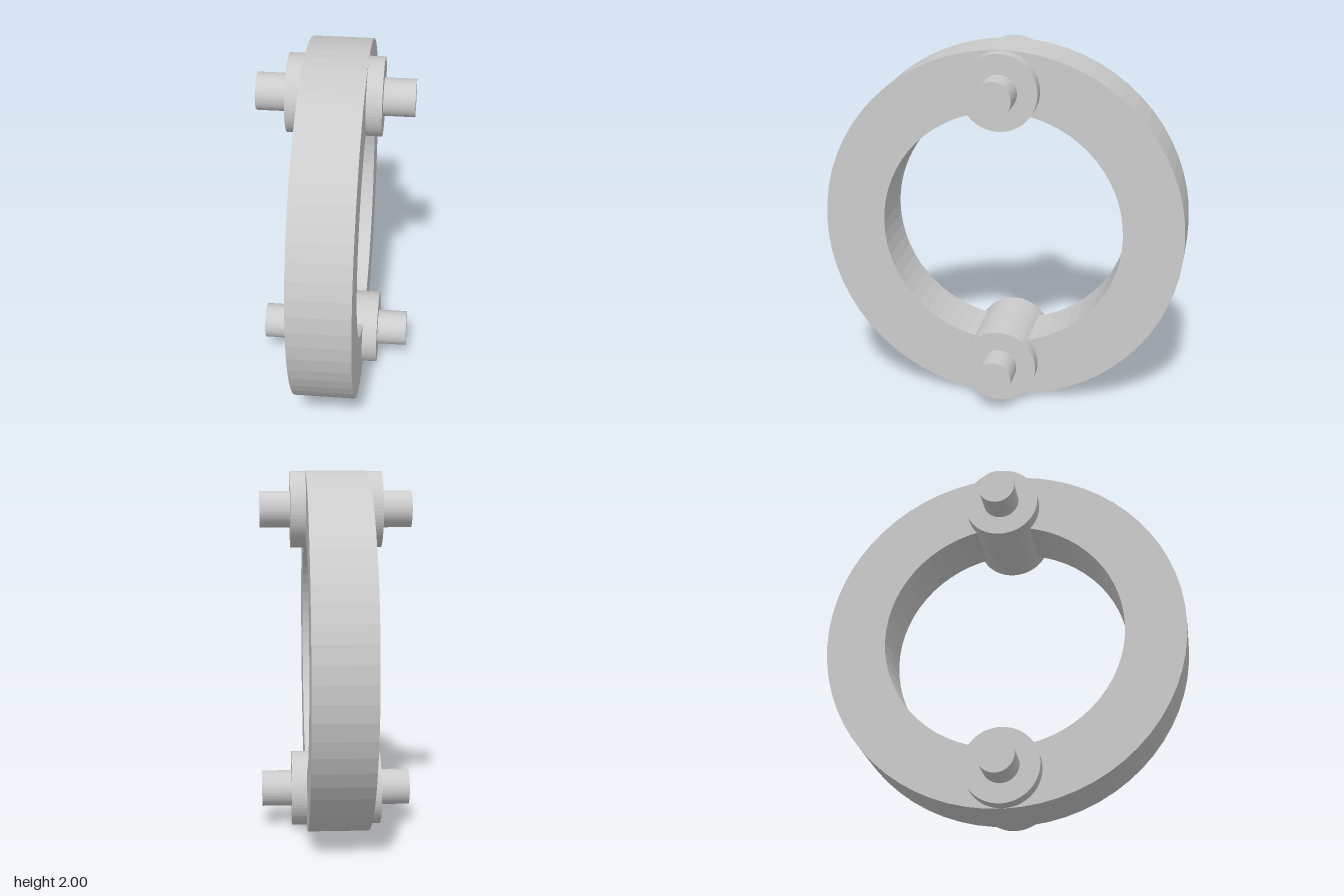
import * as THREE from 'three';

const SEGMENTS = 64;
const material = new THREE.MeshStandardMaterial({ color: 0xcccccc, flatShading: true });

// Cylinder lying along the x axis
function rod(name, radius, length, y) {
  const geometry = new THREE.CylinderGeometry(radius, radius, length, SEGMENTS);
  geometry.rotateZ(Math.PI / 2);
  const mesh = new THREE.Mesh(geometry, material);
  mesh.name = name;
  mesh.position.y = y;
  return mesh;
}

// Flat-sided ring around the x axis, turned from a rectangular section
function ring(outer, inner, width) {
  const h = width / 2;
  const section = [[inner, -h], [outer, -h], [outer, h], [inner, h], [inner, -h]]
    .map(([r, y]) => new THREE.Vector2(r, y));
  const geometry = new THREE.LatheGeometry(section, SEGMENTS);
  geometry.rotateZ(Math.PI / 2);
  const mesh = new THREE.Mesh(geometry, material);
  mesh.name = 'ring';
  mesh.position.y = 1;
  return mesh;
}

export function createModel() {
  const model = new THREE.Group();
  model.name = 'ringLink';
  model.add(ring(1, 0.667, 0.333));

  // Boss and pin through the ring at top and bottom
  for (const [side, sign] of [['upper', 1], ['lower', -1]]) {
    const y = 1 + sign * 0.79;
    model.add(rod(side + 'Boss', 0.208, 0.5, y));
    model.add(rod(side + 'Pin', 0.1, 0.833, y));
  }
  return model;
}
